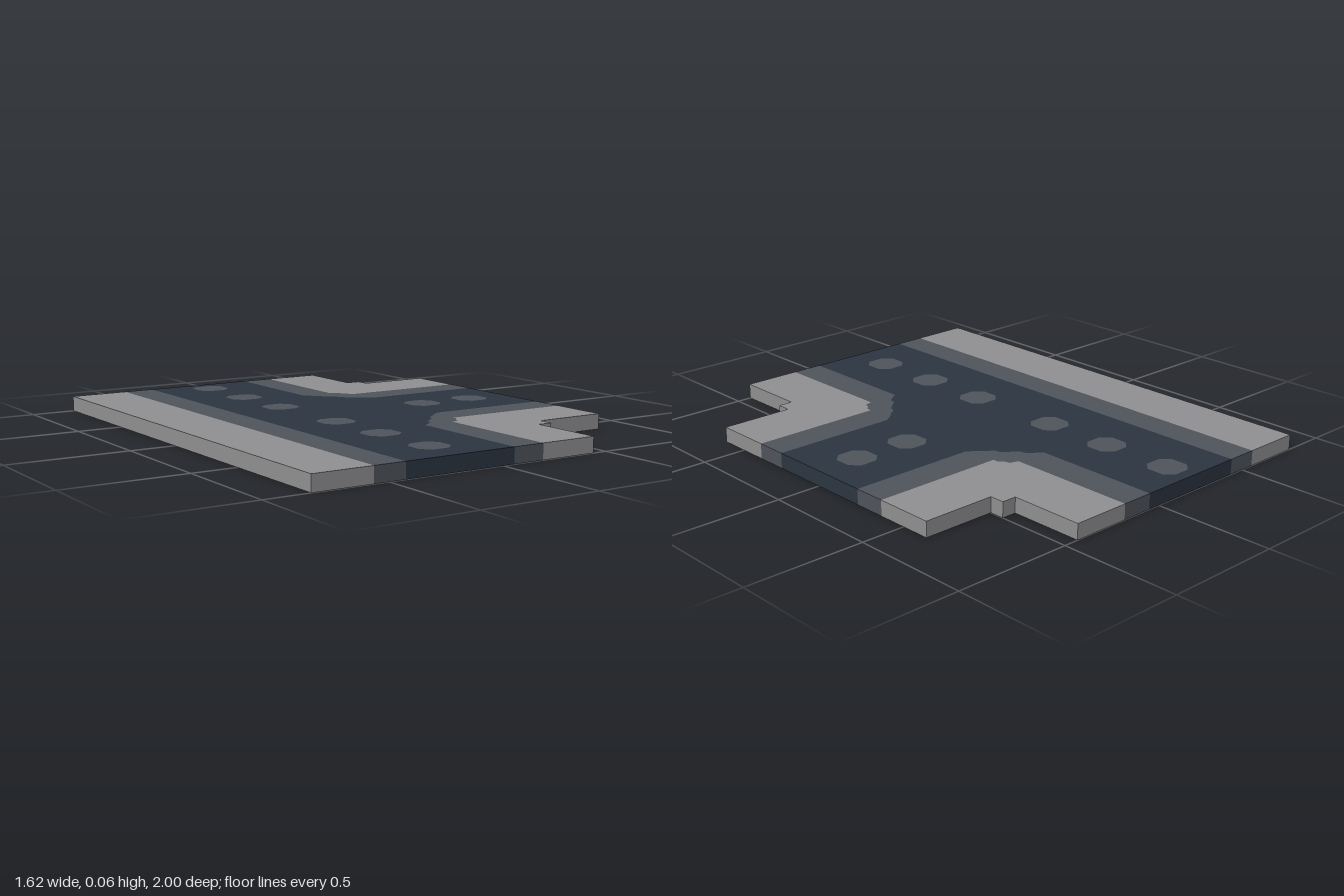
import * as THREE from 'three';

const THICK = 0.0645;

function mat(name, color) {
  const m = new THREE.MeshStandardMaterial({ color });
  m.name = name;
  return m;
}

// Path from plan points [x, z]
const path = (pts, Type = THREE.Shape) => new Type(pts.map(([x, z]) => new THREE.Vector2(x, -z)));
// Same points on the other side of the branch road, in reverse order
const mirrored = (pts) => pts.map(([x, z]) => [x, -z]).reverse();

function slab(name, shape, material) {
  const geo = new THREE.ExtrudeGeometry(shape, { depth: THICK, bevelEnabled: false });
  geo.rotateX(-Math.PI / 2);
  const mesh = new THREE.Mesh(geo, material);
  mesh.name = name;
  return mesh;
}

// Chamfered square for a road marking
function octagon(cx, cz, r = 0.072, c = 0.036) {
  return [[-r, c], [-c, r], [c, r], [r, c], [r, -c], [c, -r], [-c, -r], [-r, -c]]
    .map(([x, z]) => [cx + x, cz + z]);
}

export function createModel() {
  const group = new THREE.Group();
  group.name = 'roadJunction';
  const paving = mat('pavingGrey', 0x8e8d8f);
  const kerb = mat('kerbGrey', 0x4e535a);
  const asphalt = mat('asphaltBlue', 0x2b3440);

  const W = 0.8125;
  // Ragged inner corner of the road, from the back edge to the branch end
  const roadEdge = [
    [0.053, -1], [0.053, -0.455], [0.08, -0.435], [0.108, -0.415], [0.115, -0.385],
    [0.14, -0.365], [0.175, -0.335], [0.18, -0.31], [0.21, -0.29], [0.242, -0.26],
    [0.275, -0.239], [W, -0.239],
  ];
  // Outer edge of the kerb around the same corner
  const kerbEdge = [
    [0.189, -1], [0.189, -0.452], [0.225, -0.442], [0.23, -0.42], [0.25, -0.4],
    [0.25, -0.376], [W, -0.376],
  ];
  // Stepped outline of the pavement
  const outerEdge = [
    [0.437, -1], [0.437, -0.6875], [0.5, -0.6875], [0.5, -0.625], [W, -0.625],
  ];

  // Road with openings filled by the markings
  const road = path([[-0.43, -1], ...roadEdge, ...mirrored(roadEdge), [-0.43, 1]]);
  const marks = [-0.878, -0.566, -0.25, 0.185, 0.498, 0.81].map((z) => [-0.19, z]);
  marks.push([0.37, 0], [0.624, 0]);
  marks.forEach(([x, z], i) => {
    const pts = octagon(x, z);
    road.holes.push(path(pts, THREE.Path));
    group.add(slab('roadMarking' + (i + 1), path(pts), kerb));
  });
  group.add(slab('road', road, asphalt));

  // Straight strips on the -x side
  const strip = (x0, x1) => path([[x0, -1], [x1, -1], [x1, 1], [x0, 1]]);
  group.add(slab('rightPavement', strip(-W, -0.562), paving));
  group.add(slab('rightKerb', strip(-0.562, -0.43), kerb));

  // Back and front corners on the +x side
  const between = (a, b) => [...a, ...[...b].reverse()];
  const corners = [
    ['Kerb', between(roadEdge, kerbEdge), kerb],
    ['Pavement', between(kerbEdge, outerEdge), paving],
  ];
  for (const [name, pts, material] of corners) {
    group.add(slab('back' + name, path(pts), material));
    group.add(slab('front' + name, path(mirrored(pts)), material));
  }
  return group;
}
